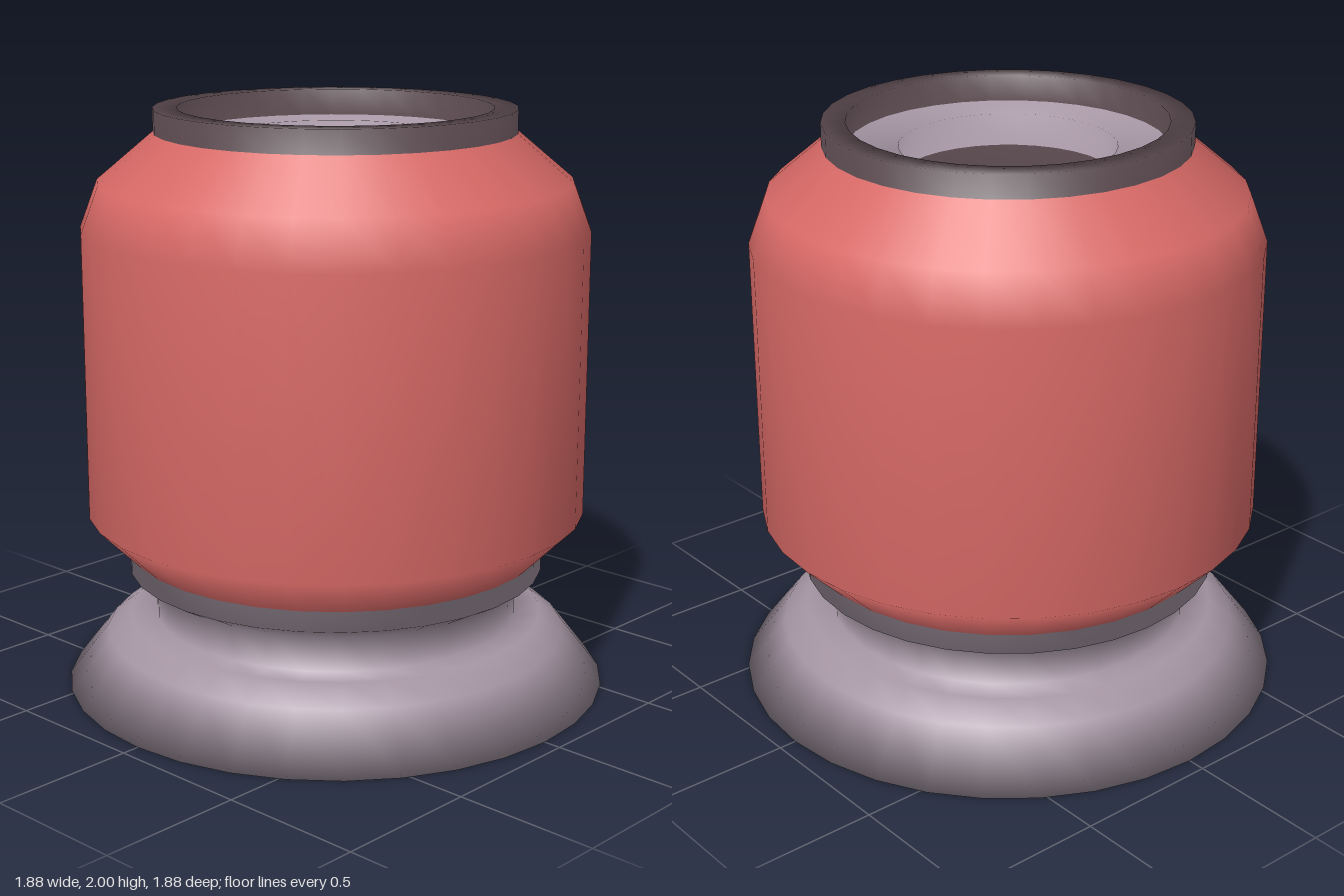
import * as THREE from 'three';

const SEGMENTS = 32;

// Outline [radius, height], from the centre of the underside, up the outside, into the mouth
const PROFILE = [
  [0, 0], [0.94, 0], [0.80, 0.18], [0.72, 0.24], [0.63, 0.24],  // 0-4 foot
  [0.63, 0.36], [0.72, 0.41], [0.72, 0.48],                     // 5-7 neck and collar
  [0.86, 0.62], [0.86, 1.60], [0.80, 1.76], [0.61, 1.92],       // 8-11 body
  [0.61, 2.0], [0.53, 2.0], [0.53, 1.91],                       // 12-14 rim
  [0.36, 1.91], [0.36, 1.80],                                   // 15-16 mouth ledge and wall
  [0, 1.80],                                                    // 17 mouth floor
];

// Takes the bands between two outline points, keeping normals smooth across part borders
function bands(lathe, from, to) {
  const all = lathe.index.array;
  const perSegment = (PROFILE.length - 1) * 6;
  const index = [];
  for (let s = 0; s < SEGMENTS; s++) {
    index.push(...all.slice(s * perSegment + from * 6, s * perSegment + to * 6));
  }
  const part = lathe.clone();
  part.setIndex(index);
  return part.toNonIndexed();
}

export function createModel() {
  const group = new THREE.Group();
  group.name = 'jar';

  const material = (name, color) => {
    const m = new THREE.MeshStandardMaterial({ color });
    m.name = name;
    return m;
  };
  const red = material('red', 0xd96a67);
  const lilac = material('lilac grey', 0xa595a3);
  const dark = material('dark brown', 0x544449);

  const lathe = new THREE.LatheGeometry(PROFILE.map(([r, y]) => new THREE.Vector2(r, y)), SEGMENTS);

  const parts = [
    ['foot', 0, 4, lilac],
    ['neckCollar', 4, 7, lilac],
    ['body', 7, 11, red],
    ['rim', 11, 14, dark],
    ['mouthWall', 14, 16, lilac],
    ['mouthFloor', 16, 17, dark],
  ];
  for (const [name, from, to, mat] of parts) {
    const mesh = new THREE.Mesh(bands(lathe, from, to), mat);
    mesh.name = name;
    group.add(mesh);
  }
  return group;
}
